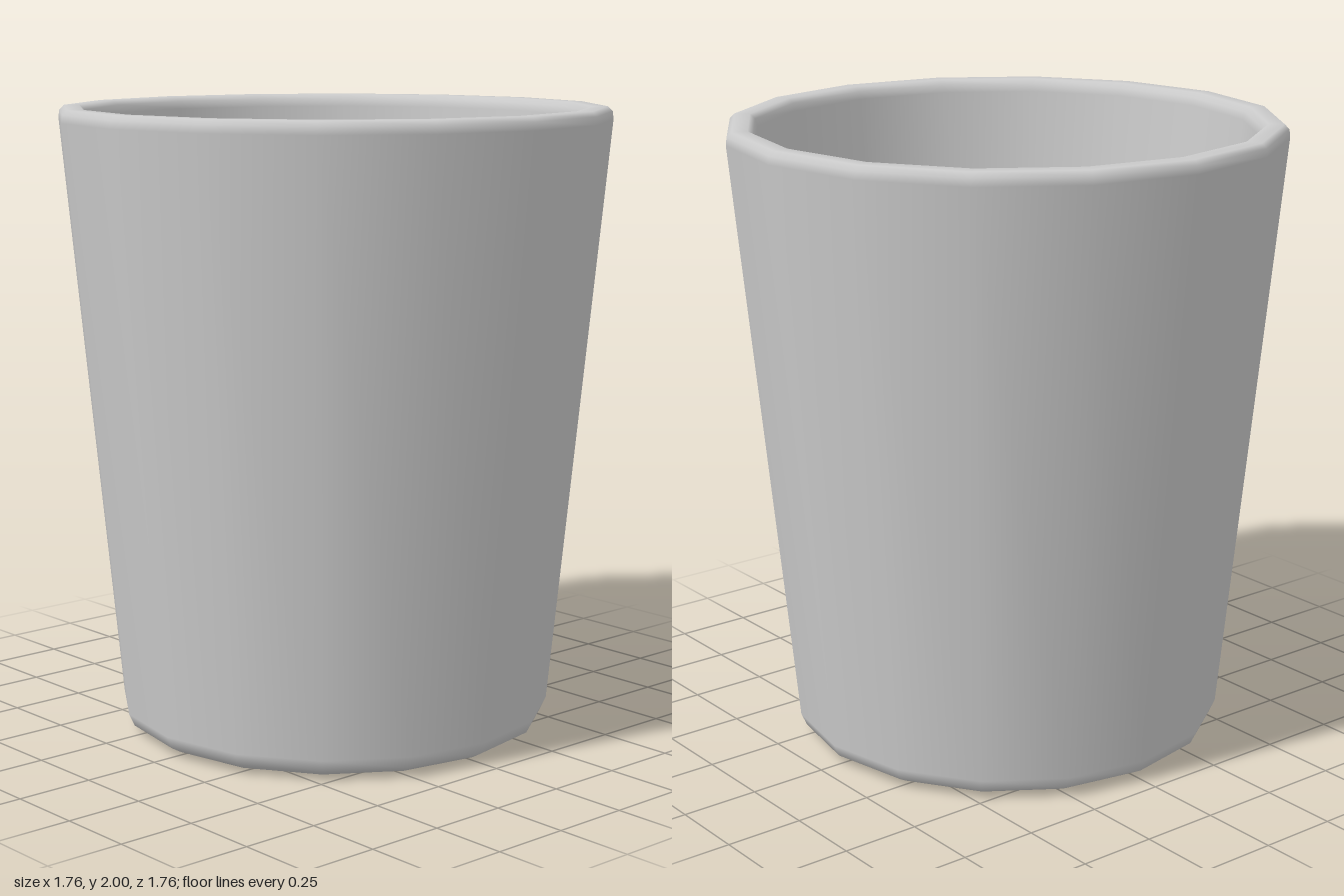
import * as THREE from 'three';

export function createModel() {
  const group = new THREE.Group();
  group.name = 'cup';
  const material = new THREE.MeshStandardMaterial({ color: 0xcccccc });

  // Closed wall profile [radius, height]: underside, outer wall, rim, inner wall, floor
  const profile = [
    [0, 0], [0.6, 0], [0.645, 0.01], [0.68, 0.03], [0.698, 0.07],
    [0.88, 1.96], [0.877, 1.985], [0.862, 2],
    [0.812, 2], [0.796, 1.985], [0.789, 1.96],
    [0.62, 0.15], [0.603, 0.11], [0.56, 0.09], [0, 0.09],
  ].map(([r, y]) => new THREE.Vector2(r, y));

  // Sixteen-sided tapered body with smooth normals
  const body = new THREE.Mesh(new THREE.LatheGeometry(profile, 16), material);
  body.name = 'cupBody';
  group.add(body);
  return group;
}
